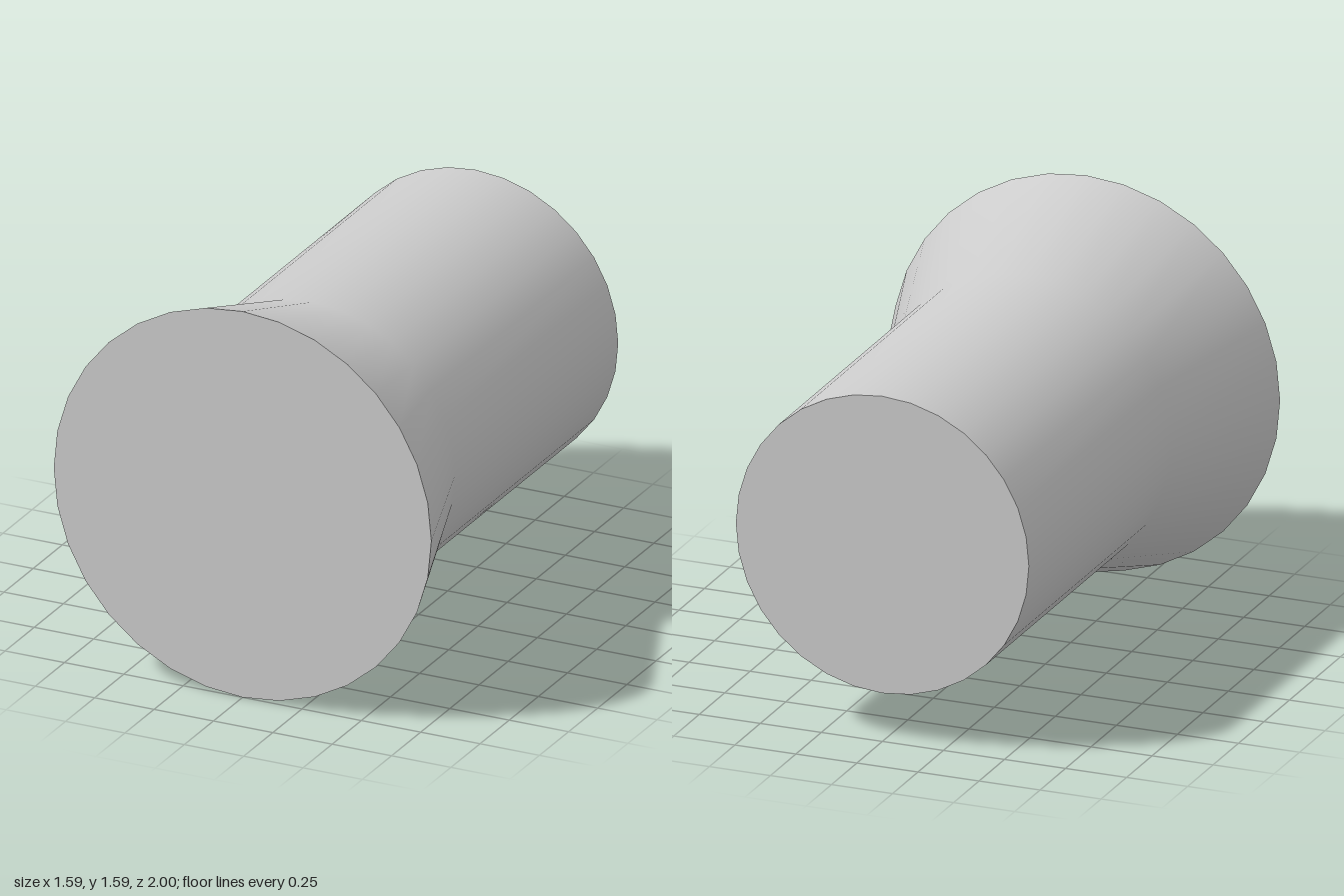
import * as THREE from 'three';

const SIDES = 32;
const TUBE_RADIUS = 0.6;
const FLARE_RADIUS = 0.795;

export function createModel() {
  const group = new THREE.Group();
  group.name = 'flaredCylinder';
  const material = new THREE.MeshStandardMaterial({ color: 0xcccccc });

  const add = (name, geometry) => {
    const mesh = new THREE.Mesh(geometry, material);
    mesh.name = name;
    mesh.position.y = FLARE_RADIUS;
    group.add(mesh);
    return mesh;
  };

  // Straight barrel that widens into the front flare, smooth across the bend
  const profile = [[TUBE_RADIUS, -1], [TUBE_RADIUS, 0.4], [FLARE_RADIUS, 1]]
    .map(([r, z]) => new THREE.Vector2(r, z));
  add('barrel', new THREE.LatheGeometry(profile, SIDES).rotateX(Math.PI / 2));

  // Flat discs closing both ends
  add('frontCap', new THREE.CircleGeometry(FLARE_RADIUS, SIDES)).position.z = 1;
  add('backCap', new THREE.CircleGeometry(TUBE_RADIUS, SIDES).rotateY(Math.PI)).position.z = -1;

  return group;
}
